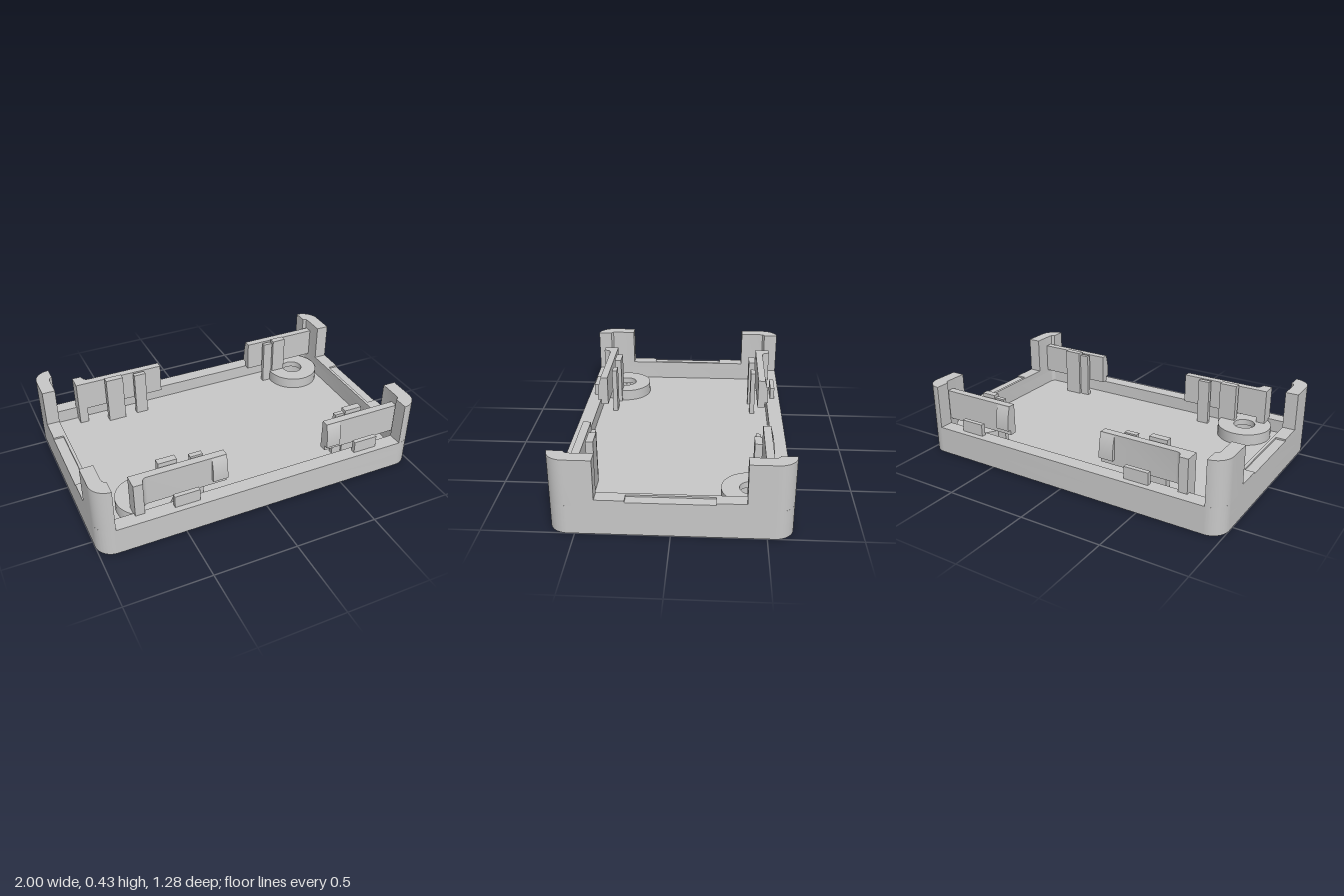
import * as THREE from 'three';
import { toCreasedNormals } from 'three/addons/utils/BufferGeometryUtils.js';

const W = 1, D = 0.64;              // half width and half depth of the tray
const IN_X = 0.922, IN_Z = 0.553;   // inner wall faces
const FLOOR = 0.085, WALL = 0.166, RAIL = 0.205, POST = 0.433;
const BOSS = 0.155, BORE = 0.118;   // top of the screw bosses and of their counterbores
const CLIP0 = 0.186, CLIP1 = 0.371; // lower and upper edge of the clips

export function createModel() {
  const group = new THREE.Group();
  const grey = new THREE.MeshStandardMaterial({ color: 0xc8c8c8 });
  grey.name = 'plastic grey';

  const add = (name, geo) => {
    const mesh = new THREE.Mesh(geo, grey);
    mesh.name = name;
    group.add(mesh);
    return mesh;
  };

  // Box given by its limits on each axis, in any order
  const box = (name, x0, x1, y0, y1, z0, z1) => {
    const geo = new THREE.BoxGeometry(Math.abs(x1 - x0), Math.abs(y1 - y0), Math.abs(z1 - z0));
    geo.translate((x0 + x1) / 2, (y0 + y1) / 2, (z0 + z1) / 2);
    return add(name, geo);
  };

  // Plan outline (shape y is -z) raised from y0 to y1
  const raise = (name, shape, y0, y1) => {
    const geo = new THREE.ExtrudeGeometry(shape, { depth: y1 - y0, bevelEnabled: false, curveSegments: 12 });
    geo.rotateX(-Math.PI / 2);
    geo.translate(0, y0, 0);
    return add(name, toCreasedNormals(geo, 0.6));
  };

  const roundedRect = (path, w, d, r) => {
    path.moveTo(-w + r, -d);
    path.lineTo(w - r, -d);
    path.absarc(w - r, -d + r, r, -Math.PI / 2, 0);
    path.absarc(w - r, d - r, r, 0, Math.PI / 2);
    path.absarc(-w + r, d - r, r, Math.PI / 2, Math.PI);
    path.absarc(-w + r, -d + r, r, Math.PI, Math.PI * 1.5);
    return path;
  };

  // Floor with two counterbored screw holes
  const holes = [[0.752, -0.422], [-0.665, 0.42]];
  const floor = roundedRect(new THREE.Shape(), W, D, 0.1);
  for (const [x, z] of holes) floor.holes.push(new THREE.Path().absarc(x, -z, 0.122, 0, Math.PI * 2));
  raise('floor', floor, 0, FLOOR);

  // Low wall all round
  const wall = roundedRect(new THREE.Shape(), W, D, 0.1);
  wall.holes.push(roundedRect(new THREE.Path(), IN_X, IN_Z, 0.03));
  raise('wall', wall, FLOOR, WALL);

  // Raised ring around each screw hole
  const ring = [[0.165, FLOOR], [0.165, BOSS], [0.066, BOSS], [0.066, BORE], [0.122, BORE], [0.122, FLOOR]]
    .map(([r, y]) => new THREE.Vector2(r, y));
  for (const [x, z] of holes) {
    const geo = toCreasedNormals(new THREE.LatheGeometry(ring, 40), 0.6);
    add('screwBoss', geo).position.set(x, 0, z);
  }

  for (const sx of [-1, 1]) {
    // Side rail with a shallow recess along its middle
    box('sideRail', sx * IN_X, sx * W, WALL, 0.195, -0.392, 0.392);
    box('railLip', sx * IN_X, sx * 0.94, 0.195, RAIL, -0.235, 0.235);
    for (const sz of [-1, 1]) {
      box('railEnd', sx * IN_X, sx * W, 0.195, RAIL, sz * 0.235, sz * 0.392);

      // Tall corner post with a rounded outer edge
      const outline = [[IN_X, 0.392], [W, 0.392]];
      for (let i = 0; i <= 12; i++) {
        const a = (i / 12) * Math.PI / 2;
        outline.push([W - 0.1 + 0.1 * Math.cos(a), D - 0.1 + 0.1 * Math.sin(a)]);
      }
      outline.push([0.9, D], [0.9, IN_Z], [0.907, IN_Z - 0.003], [0.919, 0.54], [IN_X, 0.525]);
      raise('cornerPost', new THREE.Shape(outline.map(([x, z]) => new THREE.Vector2(sx * x, -sz * z))), WALL, POST);
    }
  }

  // Curved catch: deepest at its lower edge, fading into the plate above
  const catchPart = (x0, x1, sz) => {
    const s = new THREE.Shape();
    s.moveTo(0.52, 0.218);
    s.lineTo(0.554, 0.218);
    s.quadraticCurveTo(0.556, 0.3, 0.532, 0.365);
    s.lineTo(0.52, 0.365);
    const geo = new THREE.ExtrudeGeometry(s, { depth: x1 - x0, bevelEnabled: false, curveSegments: 8 });
    // Turn the profile to face front, extruded along x
    geo.rotateY(-Math.PI / 2);
    geo.translate(x1, 0, 0);
    if (sz < 0) {
      geo.rotateY(Math.PI);
      geo.translate(x0 + x1, 0, 0);
    }
    add('clipCatch', toCreasedNormals(geo, 0.6));
  };

  const tallStop = (x0, x1, y0, sz) => box('tallStop', x0, x1, y0, 0.386, sz * 0.432, sz * 0.473);

  for (const sz of [-1, 1]) {
    // Right clip: plate on a standing foot, joined by a small fillet
    const plate = [[-0.77, 0.487], [-0.207, 0.487], [-0.207, 0.532], [-0.68, 0.532],
      [-0.695, 0.536], [-0.705, 0.546], [-0.71, 0.56], [-0.715, 0.578], [-0.77, 0.578]];
    raise('rightClip', new THREE.Shape(plate.map(([x, z]) => new THREE.Vector2(x, -sz * z))), CLIP0, CLIP1);
    box('clipFoot', -0.77, -0.715, FLOOR, CLIP0, sz * 0.487, sz * 0.578);
    catchPart(-0.297, -0.207, sz);

    // Left clip: plate carried by the corner post
    box('leftClip', 0.437, 0.925, CLIP0, CLIP1, sz * 0.487, sz * 0.532);
    catchPart(0.437, 0.527, sz);

    // Upright stops inside the clips and low stops on the wall
    box('shortStop', -0.4, -0.325, FLOOR, CLIP1, sz * 0.442, sz * 0.472);
    box('shortStop', 0.535, 0.595, FLOOR, CLIP1, sz * 0.442, sz * 0.468);
    box('outerStop', -0.55, -0.4, WALL, 0.24, sz * 0.578, sz * 0.605);
    box('outerStop', 0.6, 0.75, WALL, 0.24, sz * 0.578, sz * 0.605);
  }

  // Tall stops; those beside a screw boss step up onto it to keep the bore clear
  tallStop(-0.59, -0.48, FLOOR, -1);
  tallStop(-0.54, -0.48, FLOOR, 1);
  tallStop(-0.59, -0.54, BORE + 0.01, 1);
  tallStop(0.6, 0.71, FLOOR, 1);
  tallStop(0.6, 0.632, FLOOR, -1);
  tallStop(0.632, 0.688, BORE + 0.01, -1);

  return group;
}
